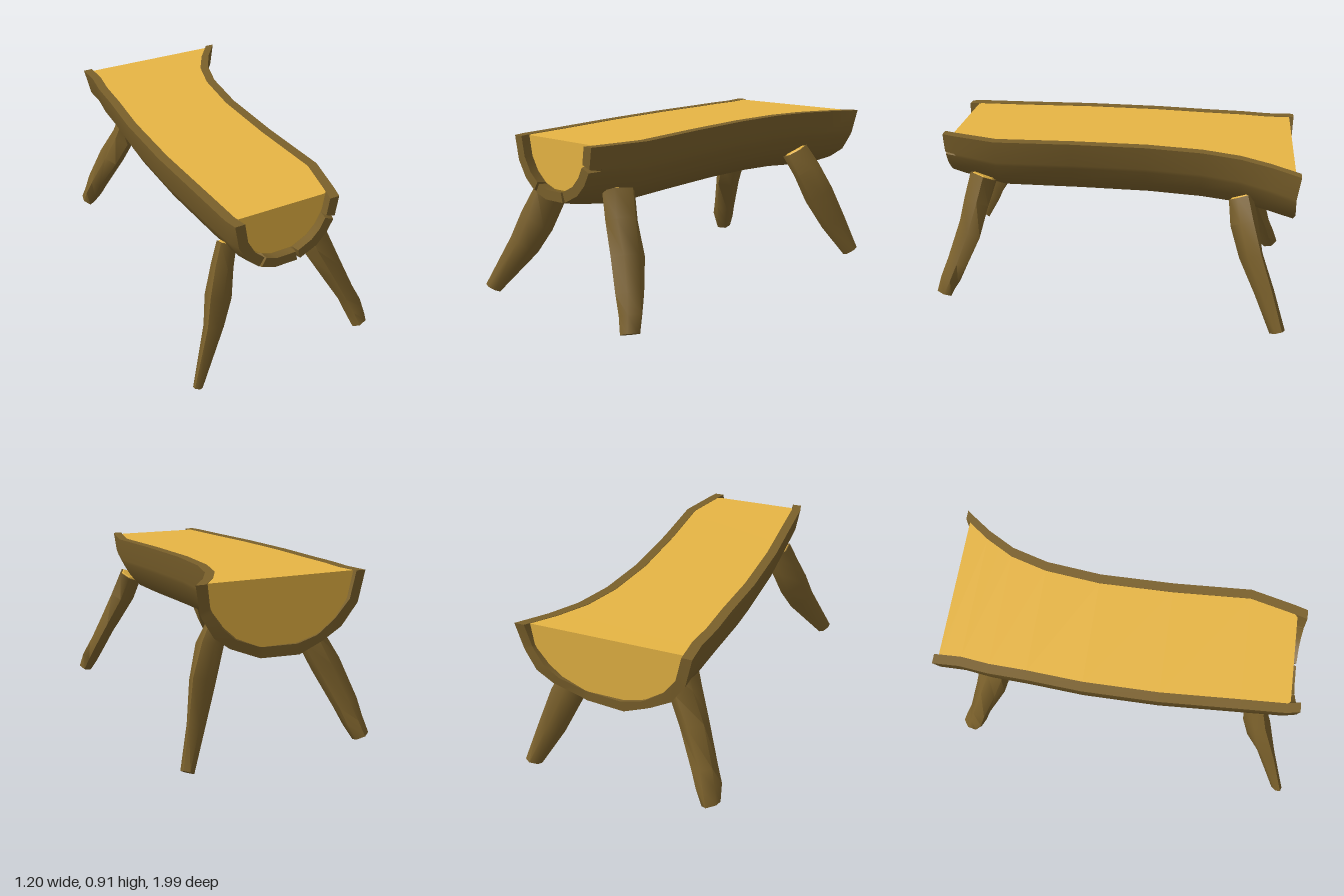
import * as THREE from 'three';
import { toCreasedNormals } from 'three/addons/utils/BufferGeometryUtils.js';

const bark = new THREE.MeshStandardMaterial({ color: 0x7a602b });
const wood = new THREE.MeshStandardMaterial({ color: 0xe7b544 });

// Skin a list of equal-length point loops and close both ends with strips
function loft(rings, crease) {
  const n = rings[0].length, last = (rings.length - 1) * n;
  const index = [];
  for (let k = 0; k < rings.length - 1; k++) {
    for (let j = 0; j < n; j++) {
      const a = k * n + j, b = k * n + (j + 1) % n;
      index.push(a, b, a + n, b, b + n, a + n);
    }
  }
  for (let p = 0; p + 1 < n - 1 - p; p++) {
    const q = p + 1, r = n - 2 - p, s = n - 1 - p;
    index.push(p, s, r, last + p, last + r, last + s);
    if (q < r) index.push(p, r, q, last + p, last + q, last + r);
  }
  const geometry = new THREE.BufferGeometry().setFromPoints(rings.flat());
  geometry.setIndex(index);
  return toCreasedNormals(geometry, crease);
}

function part(name, geometry, material) {
  const mesh = new THREE.Mesh(geometry, material);
  mesh.name = name;
  return mesh;
}

// Log stations, front to back: z, right edge x, left edge x, depth, top y
const stations = [
  [0.928, -0.36, 0.21, 0.31, 0.91],
  [0.86, -0.375, 0.23, 0.327, 0.91],
  [0.62, -0.387, 0.287, 0.365, 0.91],
  [0.2, -0.41, 0.264, 0.37, 0.912],
  [-0.2, -0.41, 0.26, 0.371, 0.914],
  [-0.5, -0.39, 0.292, 0.372, 0.916],
  [-0.7, -0.383, 0.35, 0.375, 0.917],
  [-0.85, -0.365, 0.435, 0.38, 0.918],
  [-0.992, -0.37, 0.54, 0.385, 0.92],
];
const thickness = 0.052;

// Angles around the half round, with a narrow crack at three of them
const cracks = [0.39, 1.34, 2.05];
const angles = [0, 0.68, 0.95, 1.75, 2.38, 2.72, Math.PI];
for (const c of cracks) angles.push(c - 0.03, c, c + 0.03);
angles.sort((a, b) => a - b);

function arc([z, x0, x1, depth, top], inset) {
  const cx = (x0 + x1) / 2, rx = (x1 - x0) / 2 - inset, ry = depth - inset;
  return angles.map(t => {
    const c = Math.cos(t);
    return new THREE.Vector3(
      cx + rx * Math.sign(c) * Math.abs(c) ** 0.9, top - ry * Math.sin(t), z);
  });
}

function makeLog() {
  const log = new THREE.Group();
  log.name = 'halfLog';

  // Bark shell with cracked front rim and uneven back rim
  const shell = stations.map((s, k) => {
    const outer = arc(s, 0), inner = arc(s, thickness);
    angles.forEach((t, i) => {
      if (k === 0 && cracks.includes(t)) {
        outer[i].z -= 0.04;
        inner[i].z -= 0.04;
      }
      if (k === stations.length - 1) {
        const dz = 0.016 * Math.sin(t) + 0.008 * Math.sin(t * 6);
        outer[i].z += dz;
        inner[i].z += dz;
        outer[i].y += 0.012 * Math.sin(t * 7) * Math.sin(t);
      }
    });
    return [...outer, ...inner.reverse()];
  });
  log.add(part('bark', loft(shell, 0.8), bark));

  // Wooden core, flush on top and recessed at both ends
  const core = stations.map(([z, x0, x1, depth, top]) =>
    arc([THREE.MathUtils.clamp(z, -0.967, 0.875), x0, x1, depth, top - 0.002], thickness - 0.003));
  log.add(part('seatWood', loft(core, 0.6), wood));
  return log;
}

// Leg: a bent, knobbly branch through the given [x, y, z, radius] points;
// breadth scales it across its direction of splay
function makeLeg(name, points, seed, breadth) {
  const leg = new THREE.Group();
  leg.name = name;
  const centres = points.map(p => new THREE.Vector3(p[0], p[1], p[2]));
  const axis = centres[centres.length - 1].clone().sub(centres[0]).normalize();
  const u = new THREE.Vector3(axis.x, 0, axis.z).normalize();
  u.addScaledVector(axis, -axis.dot(u)).normalize();
  const v = new THREE.Vector3().crossVectors(axis, u);
  const ring = (centre, radius, k) => Array.from({ length: 6 }, (_, i) => {
    const a = i / 6 * Math.PI * 2 + seed;
    const r = radius * (1 + 0.1 * Math.sin(i * 2.4 + k * 1.7 + seed * 3));
    return centre.clone().addScaledVector(u, r * Math.cos(a))
      .addScaledVector(v, breadth * r * Math.sin(a));
  });
  leg.add(part('legBark', loft(points.map((p, k) => ring(centres[k], p[3], k)), 1.1), bark));

  // Bare wood at the cut top
  const tip = centres[0].clone().addScaledVector(axis, -0.006);
  leg.add(part('legTopWood', loft([
    ring(tip, points[0][3] * 0.75, 0),
    ring(centres[0], points[0][3] * 0.85, 0),
  ], 0.5), wood));
  return leg;
}

export function createModel() {
  const model = new THREE.Group();
  model.name = 'logBench';
  model.add(makeLog());
  model.add(makeLeg('frontLeftLeg', [
    [0.18, 0.66, 0.72, 0.072], [0.225, 0.52, 0.755, 0.072], [0.305, 0.36, 0.795, 0.066],
    [0.375, 0.2, 0.85, 0.056], [0.41, 0.11, 0.885, 0.052], [0.435, 0.03, 0.92, 0.042],
  ], 0.3, 1.25));
  model.add(makeLeg('frontRightLeg', [
    [-0.285, 0.67, 0.72, 0.085], [-0.33, 0.56, 0.75, 0.098], [-0.375, 0.42, 0.795, 0.102],
    [-0.425, 0.29, 0.85, 0.078], [-0.575, 0.04, 0.965, 0.042],
  ], 1.1, 0.57));
  model.add(makeLeg('backLeftLeg', [
    [0.28, 0.675, -0.71, 0.08], [0.345, 0.56, -0.74, 0.093], [0.41, 0.4, -0.785, 0.09],
    [0.48, 0.22, -0.865, 0.072], [0.562, 0.032, -0.947, 0.05],
  ], 2.2, 0.62));
  model.add(makeLeg('backRightLeg', [
    [-0.2, 0.65, -0.71, 0.074], [-0.23, 0.55, -0.735, 0.08], [-0.3, 0.4, -0.78, 0.076],
    [-0.385, 0.2, -0.855, 0.06], [-0.415, 0.11, -0.885, 0.058], [-0.44, 0.03, -0.92, 0.048],
  ], 3.0, 1.1));
  return model;
}
